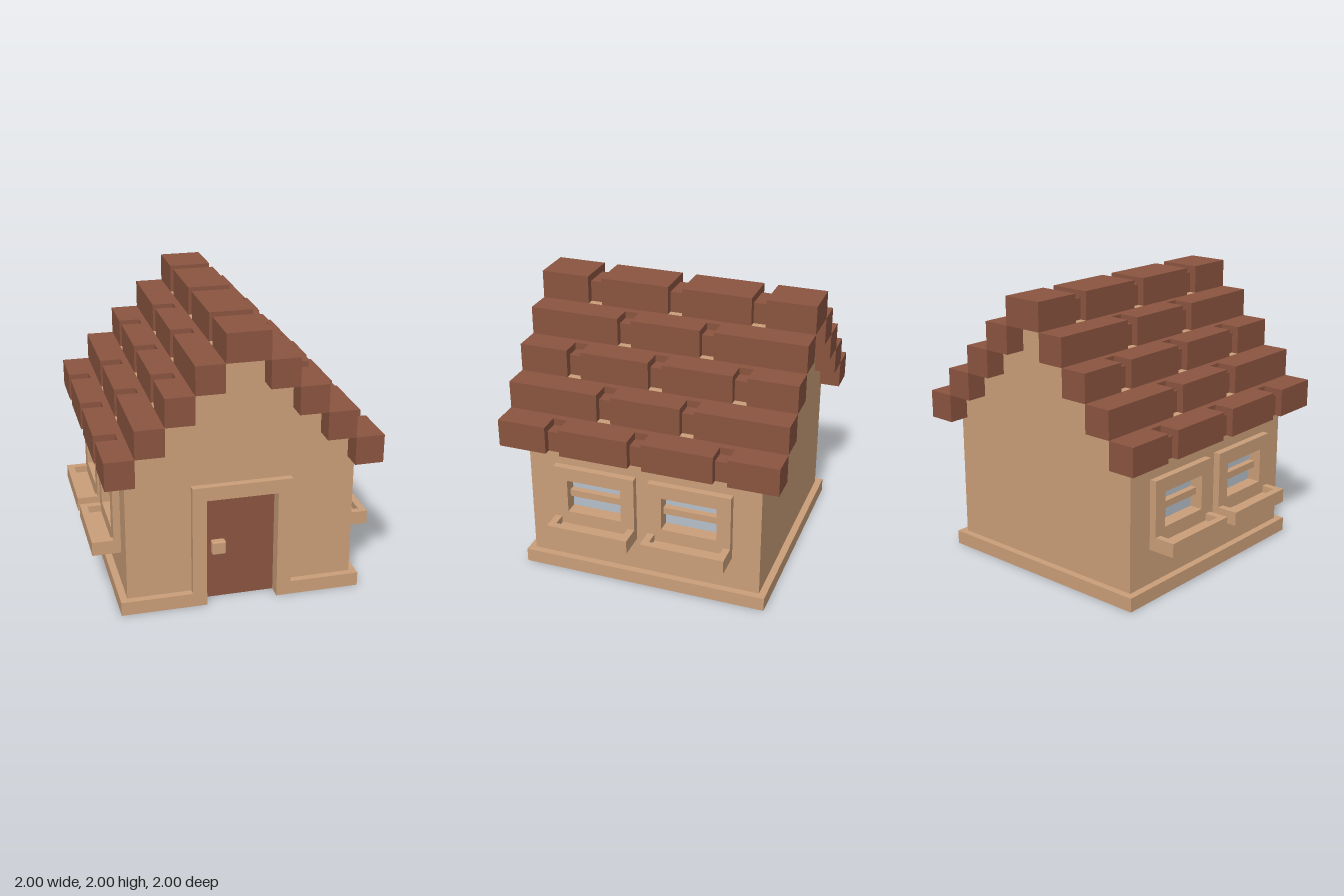
import * as THREE from 'three';
import { RoundedBoxGeometry } from 'three/addons/geometries/RoundedBoxGeometry.js';

const mat = (name, color) => {
  const m = new THREE.MeshStandardMaterial({ color });
  m.name = name;
  return m;
};

export function createModel() {
  const house = new THREE.Group();
  house.name = 'house';
  const plaster = mat('tan plaster', 0xcca07a);
  const brown = mat('brown wood and tile', 0x8b5540);
  const glass = mat('pale glass', 0xb6c0ca);

  const add = (parent, name, geometry, material) => {
    const mesh = new THREE.Mesh(geometry, material);
    mesh.name = name;
    parent.add(mesh);
    return mesh;
  };
  // Box given by its lower and upper limits on each axis
  const box = (parent, name, material, x0, x1, y0, y1, z0, z1) => {
    const mesh = add(parent, name, new THREE.BoxGeometry(x1 - x0, y1 - y0, z1 - z0), material);
    mesh.position.set((x0 + x1) / 2, (y0 + y1) / 2, (z0 + z1) / 2);
    return mesh;
  };
  const shapeOf = (pts) => new THREE.Shape(pts.map(([x, y]) => new THREE.Vector2(x, y)));
  const rect = (x0, x1, y0, y1) => shapeOf([[x0, y0], [x1, y0], [x1, y1], [x0, y1]]);
  const slab = (shape, depth) => new THREE.ExtrudeGeometry(shape, { depth, bevelEnabled: false });
  // Arch of straight sides, open at the bottom, with a doorway
  const doorway = [[-0.25, 0], [-0.25, 0.8], [0.25, 0.8], [0.25, 0]];

  // Stepped gable outline, right half from the eaves to the top
  const half = [];
  for (let i = 0; i < 4; i++) {
    const x = 0.75 - 0.2 * i;
    half.push([x, i ? 1 + 0.2 * i : 0], [x, 1.2 + 0.2 * i]);
  }
  const stepped = [...half, ...half.map(([x, y]) => [-x, y]).reverse()];

  // Solid core and front wall with the doorway cut out
  const core = add(house, 'walls', slab(shapeOf(stepped), 1.6), plaster);
  core.position.z = -0.85;
  const front = add(house, 'frontWall', slab(shapeOf([...stepped, ...doorway]), 0.1), plaster);
  front.position.z = 0.75;

  // Plinth with a notch at the door
  const plan = [[-0.85, 0.9], [0.85, 0.9], [0.85, -0.9], [0.25, -0.9],
    [0.25, -0.75], [-0.25, -0.75], [-0.25, -0.9], [-0.85, -0.9]];
  const plinth = add(house, 'plinth', slab(shapeOf(plan), 0.1), plaster);
  plinth.rotation.x = -Math.PI / 2;

  // Door, frame and knob
  const frame = [...doorway, [0.35, 0], [0.35, 0.9], [-0.35, 0.9], [-0.35, 0]];
  add(house, 'doorFrame', slab(shapeOf(frame), 0.05), plaster).position.z = 0.85;
  box(house, 'door', brown, -0.25, 0.25, 0, 0.8, 0.75, 0.8);
  add(house, 'doorKnob', new RoundedBoxGeometry(0.1, 0.1, 0.1, 1, 0.012), plaster)
    .position.set(-0.15, 0.4, 0.8);

  // Everything on one side: wall, windows, planters and roof slope
  const buildSide = (name, angle) => {
    const side = new THREE.Group();
    side.name = name;
    side.rotation.y = angle;
    house.add(side);

    const wallShape = rect(-0.85, 0.85, 0, 1);
    for (const c of [-0.35, 0.35]) wallShape.holes.push(rect(c - 0.2, c + 0.2, 0.5, 0.75));
    const wall = add(side, 'sideWall', slab(wallShape, 0.05), plaster);
    wall.rotation.y = Math.PI / 2;
    wall.position.x = 0.75;

    for (const c of [-0.35, 0.35]) {
      const frameShape = rect(-0.3, 0.3, 0.35, 0.85);
      frameShape.holes.push(rect(-0.2, 0.2, 0.5, 0.75));
      const windowFrame = add(side, 'windowFrame', slab(frameShape, 0.05), plaster);
      windowFrame.rotation.y = Math.PI / 2;
      windowFrame.position.set(0.8, 0, c);
      box(side, 'windowPane', glass, 0.747, 0.753, 0.5, 0.75, c - 0.2, c + 0.2);
      box(side, 'windowBar', plaster, 0.75, 0.8, 0.6, 0.65, c - 0.2, c + 0.2);

      // Hollow planter under the window
      box(side, 'planterFloor', plaster, 0.85, 0.95, 0.35, 0.4, c - 0.25, c + 0.25);
      box(side, 'planterFront', plaster, 0.95, 1, 0.35, 0.45, c - 0.3, c + 0.3);
      for (const s of [-1, 1]) {
        const z = c + s * 0.275;
        box(side, 'planterEnd', plaster, 0.85, 0.95, 0.35, 0.45, z - 0.025, z + 0.025);
      }
    }

    for (let i = 0; i < 4; i++) tileRow(side, 0.75 - 0.2 * i, 0.95 - 0.2 * i, 1 + 0.2 * i, i % 2);
  };

  // One row of long tiles with lower filler pieces in the gaps
  const tileRow = (parent, x0, x1, y, odd, ridge = false) => {
    const gaps = odd ? [-0.3, 0.3] : [-0.6, 0, 0.6];
    let start = -1;
    for (const g of [...gaps, 1.05]) {
      box(parent, 'roofTile', brown, x0, x1, y, y + 0.2, start, g - 0.05);
      start = g + 0.05;
    }
    for (const g of gaps) {
      const inner = ridge ? x0 + 0.05 : x0;
      box(parent, 'roofFiller', brown, inner, x1 - 0.05, y, y + 0.15, g - 0.05, g + 0.05);
      if (!ridge) box(parent, 'roofBacking', brown, x0, x0 + 0.05, y + 0.15, y + 0.2, g - 0.05, g + 0.05);
    }
  };

  buildSide('leftSide', 0);
  buildSide('rightSide', Math.PI);
  const ridge = new THREE.Group();
  ridge.name = 'roofRidge';
  house.add(ridge);
  tileRow(ridge, -0.15, 0.15, 1.8, 0, true);

  return house;
}
